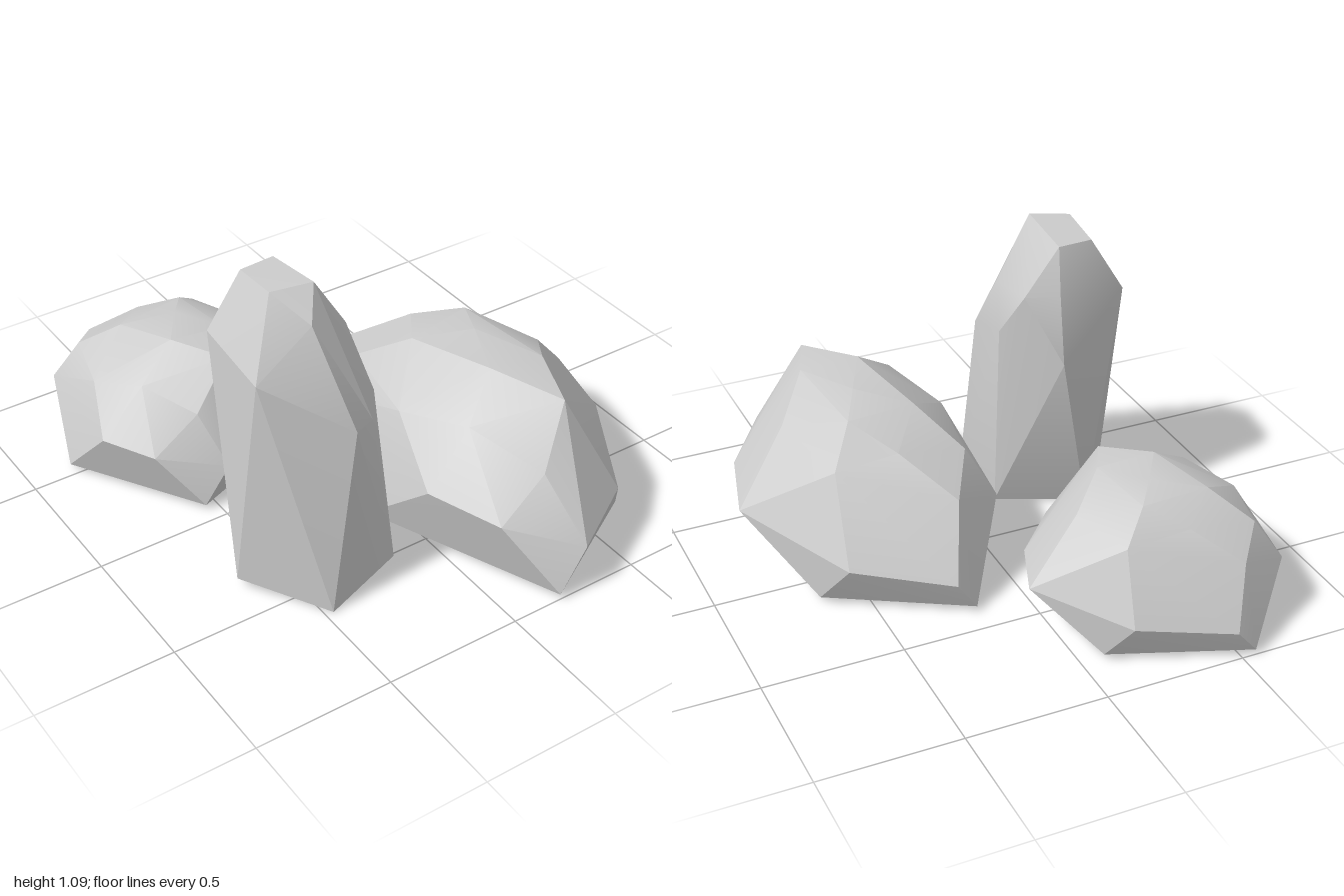
import * as THREE from 'three';
import { ConvexGeometry } from 'three/addons/geometries/ConvexGeometry.js';
import { toCreasedNormals } from 'three/addons/utils/BufferGeometryUtils.js';

const stone = new THREE.MeshStandardMaterial({ color: 0xcccccc, side: THREE.DoubleSide });

// Faceted shell around a few corner points, left open underneath
function rockGeometry(corners) {
  const hull = new ConvexGeometry(corners.map((c) => new THREE.Vector3(...c)));
  const p = hull.attributes.position;
  const kept = [];
  for (let i = 0; i < p.count; i += 3) {
    const isBottom = [0, 1, 2].every((k) => p.getY(i + k) < 0.06);
    if (isBottom) continue;
    for (let k = 0; k < 3; k++) kept.push(p.getX(i + k), p.getY(i + k), p.getZ(i + k));
  }
  const geometry = new THREE.BufferGeometry();
  geometry.setAttribute('position', new THREE.Float32BufferAttribute(kept, 3));
  return toCreasedNormals(geometry, 0.4);
}

// Boulder corners: ground ring, middle ring, shoulder, crown
const boulderCorners = [
  [0.19, 0.02, 1.0], [0.66, 0.02, 0.73], [0.66, 0.02, -0.13], [0.19, 0.02, -0.4], [-0.1, 0.02, 0.29],
  [0.06, 0.25, 0.83], [0.29, 0.18, 1.0], [0.56, 0.2, 0.84], [0.76, 0.25, 0.48], [0.84, 0.245, 0.17],
  [0.59, 0.17, -0.24], [0.26, 0.12, -0.4], [-0.01, 0.26, -0.12], [-0.05, 0.27, 0.57],
  [0.02, 0.42, 0.3], [0.08, 0.43, -0.05], [0.19, 0.36, -0.25], [0.34, 0.49, -0.08], [0.56, 0.45, -0.05],
  [0.63, 0.475, 0.29], [0.41, 0.55, 0.7], [0.36, 0.3, 0.88], [0.24, 0.39, 0.82], [0.12, 0.47, 0.56],
  [0.2, 0.55, 0.12], [0.38, 0.59, 0.24], [0.28, 0.59, 0.46], [0.49, 0.57, 0.48], [0.46, 0.56, 0.08],
];

// Standing stone corners: ground ring, shoulder, crown
const standingCorners = [
  [-0.47, 0.0, 0.63], [-0.67, 0.04, 0.35], [-0.47, 0.0, 0.09], [-0.15, 0.02, 0.2], [-0.15, 0.01, 0.52],
  [-0.61, 0.84, 0.41], [-0.59, 0.86, 0.08], [-0.32, 0.65, -0.01], [-0.155, 0.73, 0.18], [-0.17, 0.66, 0.42],
  [-0.25, 0.64, 0.53], [-0.33, 0.64, 0.56], [-0.32, 0.9, 0.03], [-0.21, 0.89, 0.09], [-0.2, 0.87, 0.3],
  [-0.4, 0.99, 0.41], [-0.48, 1.08, 0.29], [-0.34, 1.09, 0.33], [-0.34, 1.06, 0.09], [-0.47, 1.06, 0.1],
];

export function createModel() {
  const group = new THREE.Group();
  const add = (name, geometry) => {
    const mesh = new THREE.Mesh(geometry, stone);
    mesh.name = name;
    group.add(mesh);
  };

  add('largeBoulder', rockGeometry(boulderCorners));

  // The back boulder is the same stone, shorter and lower
  add('backBoulder', rockGeometry(boulderCorners.map(([x, y, z]) =>
    [x - 0.74, 0.02 + (y - 0.02) * 0.82, -1 + (z + 0.4) * 0.671])));

  add('standingStone', rockGeometry(standingCorners));
  return group;
}
